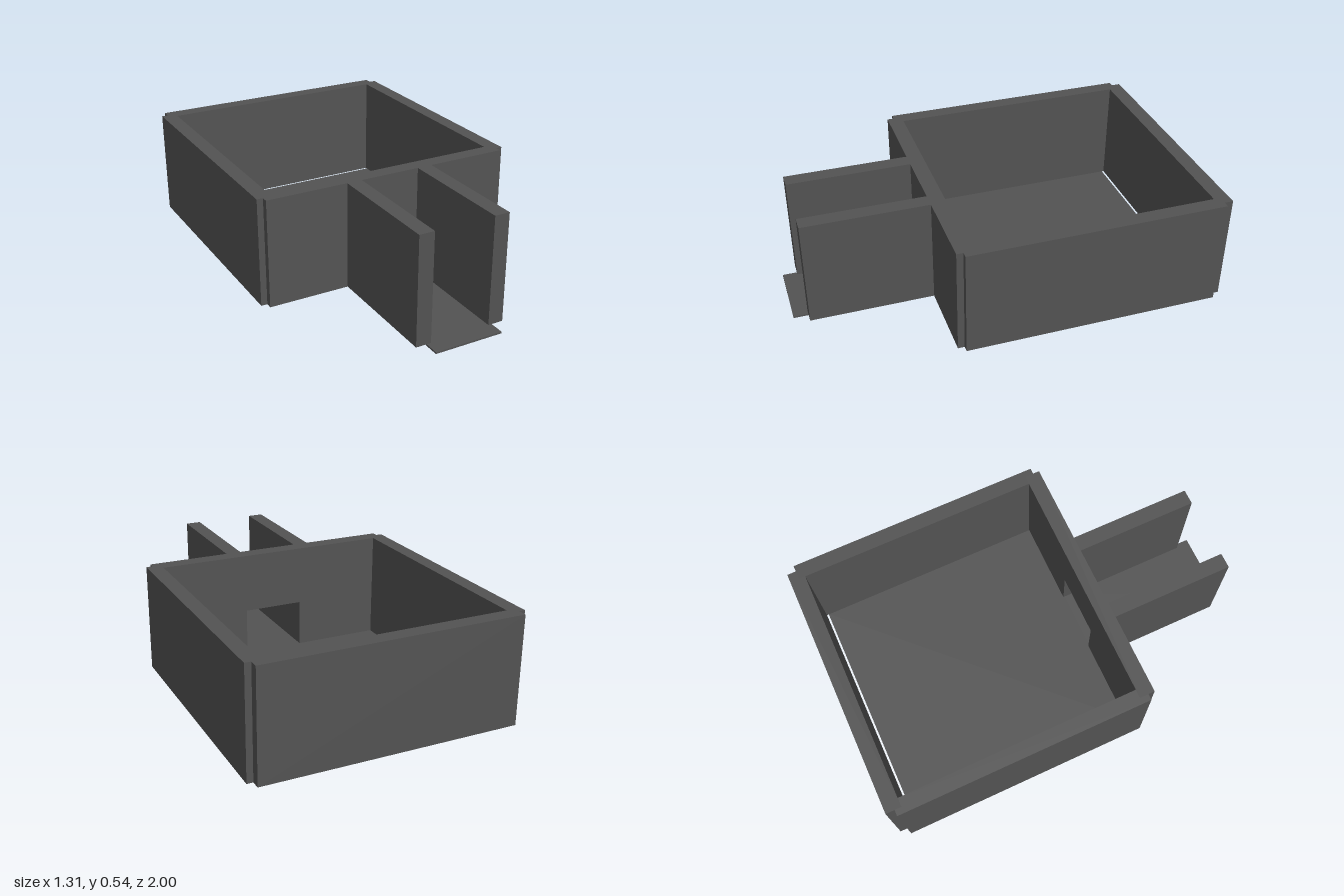
import * as THREE from 'three';

export function createModel() {
  const group = new THREE.Group();
  const stone = new THREE.MeshStandardMaterial({ color: 0x535353 });
  stone.name = 'dark grey stone';

  const base = 0.01, top = 0.54;

  // Box given by its limits on each axis
  function block(name, x0, x1, y0, y1, z0, z1) {
    const mesh = new THREE.Mesh(new THREE.BoxGeometry(x1 - x0, y1 - y0, z1 - z0), stone);
    mesh.position.set((x0 + x1) / 2, (y0 + y1) / 2, (z0 + z1) / 2);
    mesh.name = name;
    group.add(mesh);
  }

  // Floors
  block('roomFloor', -0.585, 0.585, 0, base, -0.915, 0.255);
  block('corridorFloor', -0.17, 0.17, 0, 0.008, 0.255, 1);

  // Room back wall
  block('backWall', -0.625, 0.625, base, top, -1, -0.925);

  // Side walls of the room and corridor, mirrored
  for (const [side, s] of [['left', 1], ['right', -1]]) {
    const span = (a, b) => (s > 0 ? [a, b] : [-b, -a]);
    block(side + 'RoomWall', ...span(0.582, 0.655), base, top, -0.957, 0.293);
    block(side + 'CorridorWall', ...span(0.15, 0.225), base, top, 0.325, 0.93);
  }

  // Front wall with a low doorway open at the bottom
  const outline = new THREE.Shape([
    [-0.625, base], [-0.15, base], [-0.15, 0.245], [0.15, 0.245],
    [0.15, base], [0.625, base], [0.625, top], [-0.625, top],
  ].map(([x, y]) => new THREE.Vector2(x, y)));
  const frontWall = new THREE.Mesh(
    new THREE.ExtrudeGeometry(outline, { depth: 0.075, bevelEnabled: false }), stone);
  frontWall.position.z = 0.25;
  frontWall.name = 'frontWallWithDoorway';
  group.add(frontWall);

  return group;
}
